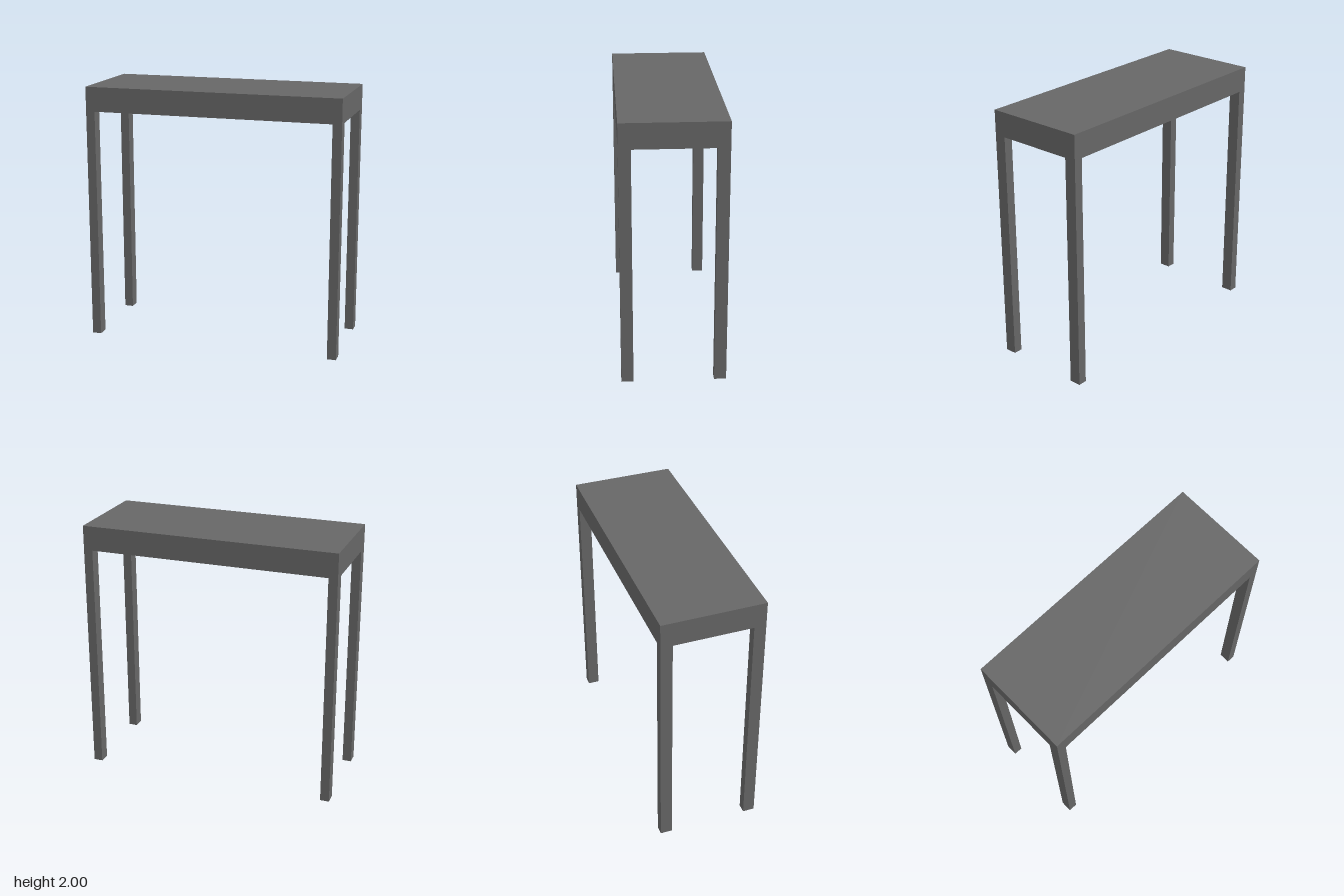
import * as THREE from 'three';

const HALF_X = 1, HALF_Z = 0.39;      // outline of the table
const LEG_X = 0.07, LEG_Z = 0.09;     // leg section, also the rim width
const RIM_Y = 1.81, CEILING_Y = 1.86, TOP_Y = 2;

export function createModel() {
  const table = new THREE.Group();
  table.name = 'sideTable';

  const grey = new THREE.MeshStandardMaterial({ color: 0x666666 });
  grey.name = 'dark grey';

  const add = (name, geometry, x, y, z) => {
    const mesh = new THREE.Mesh(geometry, grey);
    mesh.name = name;
    mesh.position.set(x, y, z);
    table.add(mesh);
    return mesh;
  };

  // Thick tabletop slab
  add('tabletop', new THREE.BoxGeometry(2 * HALF_X, TOP_Y - CEILING_Y, 2 * HALF_Z),
    0, (TOP_Y + CEILING_Y) / 2, 0);

  // Rim under the slab, leaving a shallow recess
  const rectangle = (Type, x, z) => new Type([
    new THREE.Vector2(-x, -z), new THREE.Vector2(x, -z),
    new THREE.Vector2(x, z), new THREE.Vector2(-x, z),
  ]);
  const outline = rectangle(THREE.Shape, HALF_X, HALF_Z);
  outline.holes.push(rectangle(THREE.Path, HALF_X - LEG_X, HALF_Z - LEG_Z));
  const rim = new THREE.ExtrudeGeometry(outline, { depth: CEILING_Y - RIM_Y, bevelEnabled: false });
  rim.rotateX(-Math.PI / 2);
  add('rim', rim, 0, RIM_Y, 0);

  // Four straight legs, flush with the corners
  const leg = new THREE.BoxGeometry(LEG_X, RIM_Y, LEG_Z);
  for (const [side, sx] of [['Left', 1], ['Right', -1]]) {
    for (const [end, sz] of [['front', 1], ['back', -1]]) {
      add(`${end}${side}Leg`, leg, sx * (HALF_X - LEG_X / 2), RIM_Y / 2, sz * (HALF_Z - LEG_Z / 2));
    }
  }

  return table;
}
